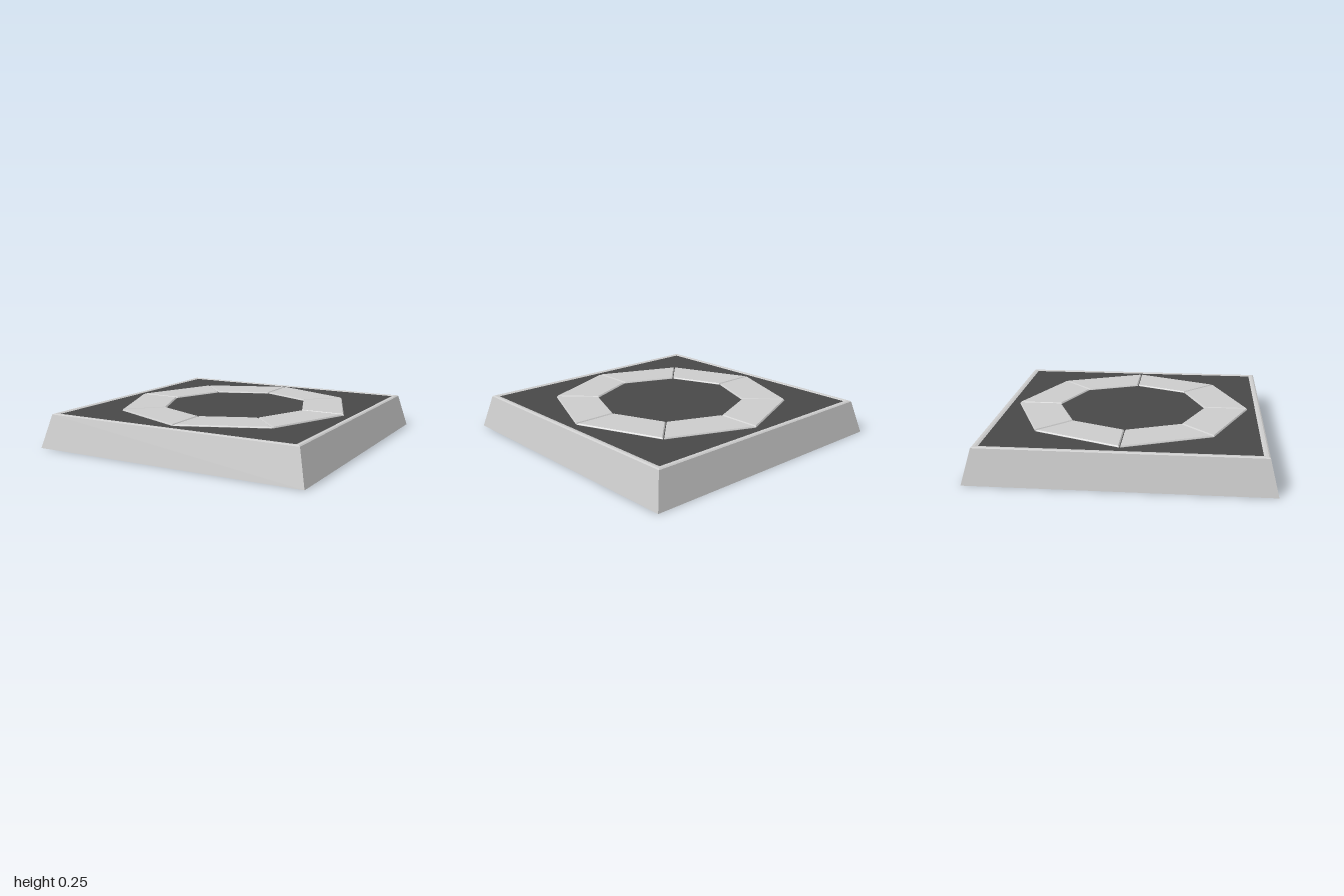
import * as THREE from 'three';

const grey = new THREE.MeshStandardMaterial({ color: 0xcccccc, flatShading: true });
const dark = new THREE.MeshStandardMaterial({ color: 0x484848, flatShading: true });

// Square solid from a profile of [half width, height]
function squareLathe(profile, material, name) {
  const points = profile.map(([half, y]) => new THREE.Vector2(half * Math.SQRT2, y));
  const mesh = new THREE.Mesh(new THREE.LatheGeometry(points, 4, Math.PI / 4), material);
  mesh.name = name;
  return mesh;
}

// One chamfered trapezoid of the octagonal ring, pointing along +x
function ringPlateGeometry(inner, outer, gap) {
  const a = Math.PI / 8, bevel = 0.008;
  const x0 = inner * Math.cos(a), x1 = outer * Math.cos(a);
  const w0 = inner * Math.sin(a) - gap / Math.cos(a);
  const w1 = outer * Math.sin(a) - gap / Math.cos(a);
  const shape = new THREE.Shape([[x0, -w0], [x1, -w1], [x1, w1], [x0, w0]]
    .map(([x, y]) => new THREE.Vector2(x, y)));
  const geometry = new THREE.ExtrudeGeometry(shape, {
    depth: 0.01, bevelEnabled: true, bevelSegments: 1,
    bevelSize: bevel, bevelThickness: bevel, bevelOffset: -bevel,
  });
  return geometry.rotateX(-Math.PI / 2);
}

export function createModel() {
  const model = new THREE.Group();
  model.name = 'floorTile';

  // Tapered base with a chamfered rim
  model.add(squareLathe(
    [[0, 0], [1, 0], [0.94, 0.234], [0.93, 0.24], [0.915, 0.24], [0.9, 0.235]],
    grey, 'base'));

  // Dark panel inside the rim
  model.add(squareLathe([[0.9, 0.235], [0, 0.235]], dark, 'panel'));

  // Octagonal ring of eight plates
  const ring = new THREE.Group();
  ring.name = 'ring';
  const geometry = ringPlateGeometry(0.53, 0.845, 0.003);
  for (let i = 0; i < 8; i++) {
    const plate = new THREE.Mesh(geometry, grey);
    plate.name = 'ringPlate';
    plate.rotation.y = (i + 0.5) * Math.PI / 4;
    plate.position.y = 0.227;
    ring.add(plate);
  }
  model.add(ring);
  return model;
}
